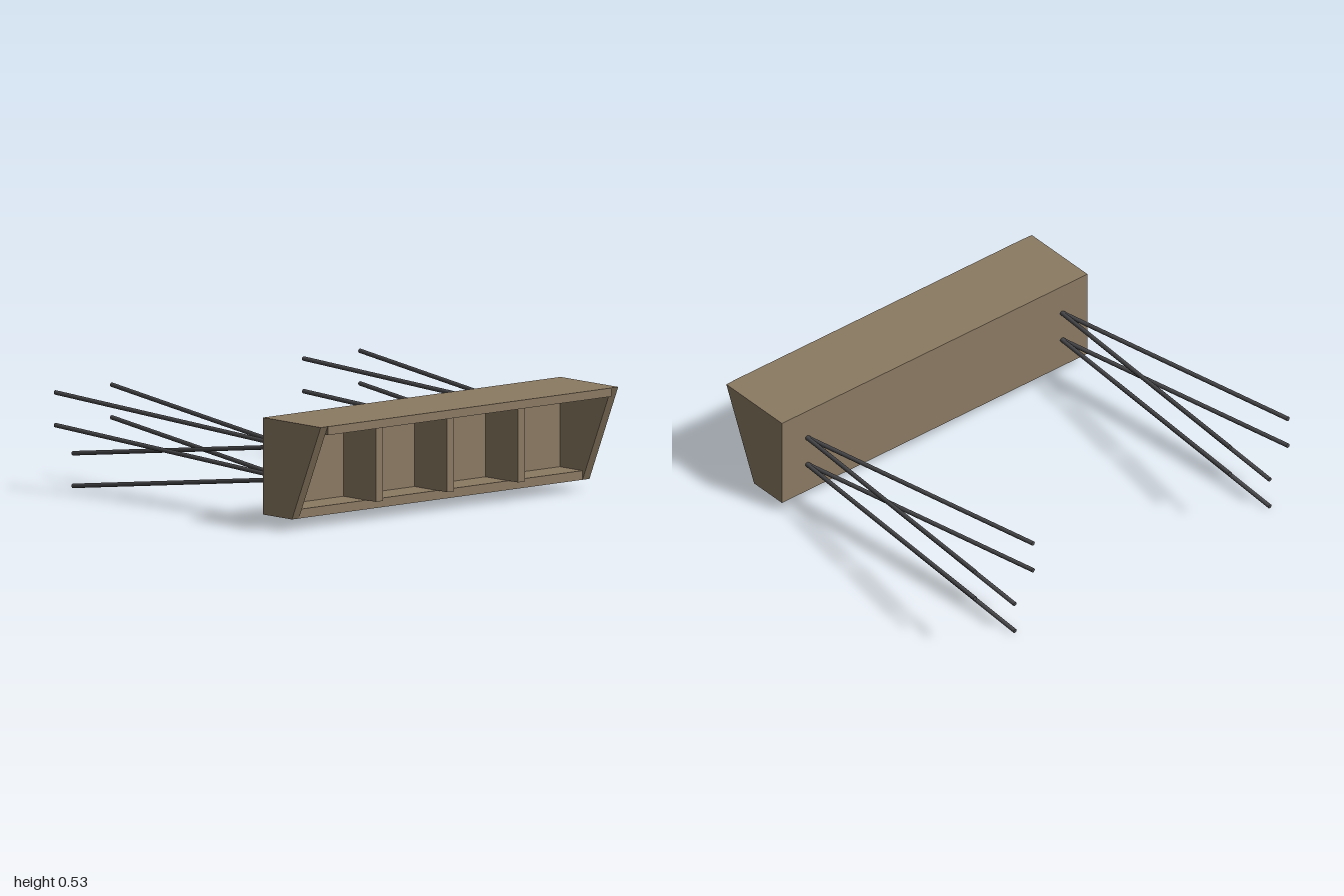
import * as THREE from 'three';

export function createModel() {
  const model = new THREE.Group();
  const wood = new THREE.MeshStandardMaterial({ color: 0x8b7a62, flatShading: true });
  const metal = new THREE.MeshStandardMaterial({ color: 0x48484b });

  const add = (parent, name, geometry, material) => {
    const mesh = new THREE.Mesh(geometry, material);
    mesh.name = name;
    parent.add(mesh);
    return mesh;
  };
  // Box given by its extents on each axis
  const board = (parent, name, x0, x1, y0, y1, z0, z1) =>
    add(parent, name, new THREE.BoxGeometry(x1 - x0, y1 - y0, z1 - z0), wood)
      .position.set((x0 + x1) / 2, (y0 + y1) / 2, (z0 + z1) / 2);

  // Open-fronted cabinet
  const cabinet = new THREE.Group();
  cabinet.name = 'cabinet';
  cabinet.position.x = -0.004;
  model.add(cabinet);

  const half = 0.963, t = 0.045, back = 0.534, inner = half - t;
  board(cabinet, 'topBoard', -inner, inner, 0.49, 0.532, back, 0.957);
  board(cabinet, 'bottomBoard', -inner, inner, 0.057, 0.102, back, 0.745);
  board(cabinet, 'backPanel', -inner, inner, 0.102, 0.49, back, back + t);
  for (const x of [-0.46, 0, 0.46])
    board(cabinet, 'divider', x - t / 2, x + t / 2, 0.102, 0.49, back + t, 0.817);

  // Side panels with a sloping front edge; shape x runs along -z
  const profile = new THREE.Shape([[-back, 0.057], [-back, 0.532], [-0.955, 0.532], [-0.745, 0.057]]
    .map(([x, y]) => new THREE.Vector2(x, y)));
  for (const x of [-half, inner]) {
    const geometry = new THREE.ExtrudeGeometry(profile, { depth: t, bevelEnabled: false });
    geometry.rotateY(Math.PI / 2);
    add(cabinet, 'sidePanel', geometry, wood).position.x = x;
  }

  // Sets of three rods fanning backwards from each fixing point
  const fan = [[-0.183, 0.11], [0.183, 0.11], [-0.068, -0.2]];
  const up = new THREE.Vector3(0, 1, 0);
  for (const x of [-0.807, 0.8]) {
    for (const y of [0.214, 0.374]) {
      const rods = new THREE.Group();
      rods.name = 'rodFan';
      model.add(rods);
      for (const [dx, dy] of fan) {
        const start = new THREE.Vector3(x, y, back + 0.01);
        const end = new THREE.Vector3(x + dx, y + dy, -0.956);
        const dir = end.clone().sub(start);
        const rod = add(rods, 'rod', new THREE.CylinderGeometry(0.011, 0.011, dir.length(), 12), metal);
        rod.position.copy(start).add(end).multiplyScalar(0.5);
        rod.quaternion.setFromUnitVectors(up, dir.normalize());
      }
    }
  }
  return model;
}
